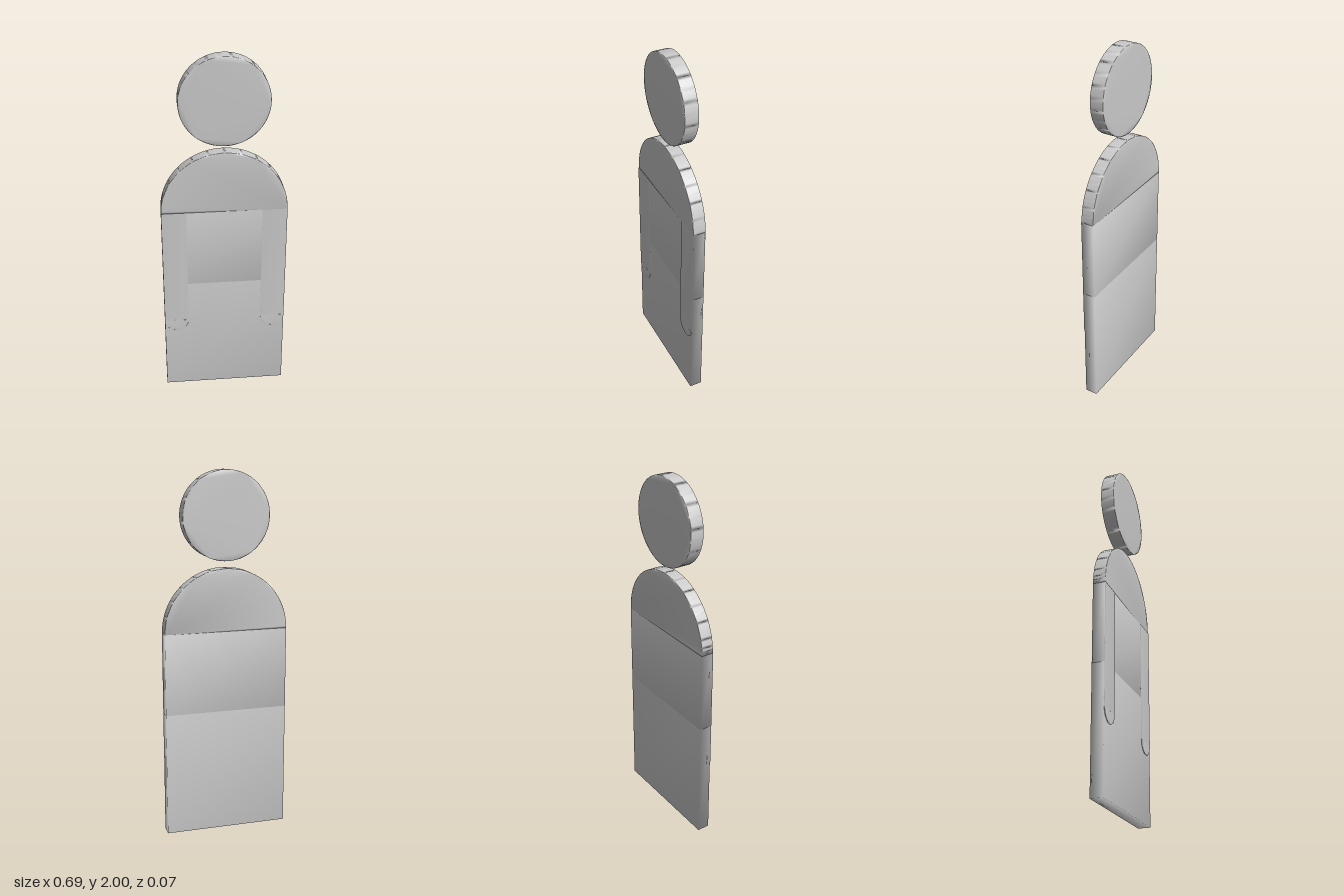
import * as THREE from 'three';
import { mergeVertices } from 'three/addons/utils/BufferGeometryUtils.js';

const WIDTH = 0.685, R = WIDTH / 2;
const BACK = -0.035, FRONT = 0.034, FACE = 0.037;
const ARM_R = 0.068, ARM_X = R - ARM_R;

export function createModel() {
  const group = new THREE.Group();
  const material = new THREE.MeshStandardMaterial({ color: 0xcccccc });

  // Share vertices so that normals blend softly across the edges
  function add(name, geometry, x, y, z) {
    geometry.deleteAttribute('normal');
    geometry.deleteAttribute('uv');
    const soft = mergeVertices(geometry, 1e-4);
    soft.computeVertexNormals();
    const mesh = new THREE.Mesh(soft, material);
    mesh.name = name;
    mesh.position.set(x, y, z);
    group.add(mesh);
  }

  // Flat plate cut from a disc, between two angles
  function disc(name, x, y, r, from, to, z0, z1) {
    const shape = new THREE.Shape();
    shape.absarc(0, 0, r, from, to, false);
    const geometry = new THREE.ExtrudeGeometry(shape, {
      depth: z1 - z0, bevelEnabled: false, curveSegments: 48,
    });
    add(name, geometry, x, y, z0);
  }

  // Flat rectangular plate between two heights
  function plate(name, x, width, y0, y1, z0, z1) {
    add(name, new THREE.BoxGeometry(width, y1 - y0, z1 - z0), x, (y0 + y1) / 2, (z0 + z1) / 2);
  }

  // Head and body
  disc('head', 0, 1.761, 0.239, 0, Math.PI * 2, -FACE, FACE);
  disc('shoulders', 0, 1.14, R, 0, Math.PI, BACK, FRONT);
  plate('torso', 0, WIDTH, 0.69, 1.14, BACK, FRONT);
  plate('lowerBody', 0, WIDTH, 0, 0.69, BACK, FRONT);

  // Thin arms laid on the front, with rounded hands
  for (const [side, s] of [['left', 1], ['right', -1]]) {
    plate(side + 'Arm', s * ARM_X, ARM_R * 2, 0.45, 1.14, 0.03, FACE);
    disc(side + 'Hand', s * ARM_X, 0.45, ARM_R, Math.PI, Math.PI * 2, 0.03, FACE);
  }
  return group;
}
